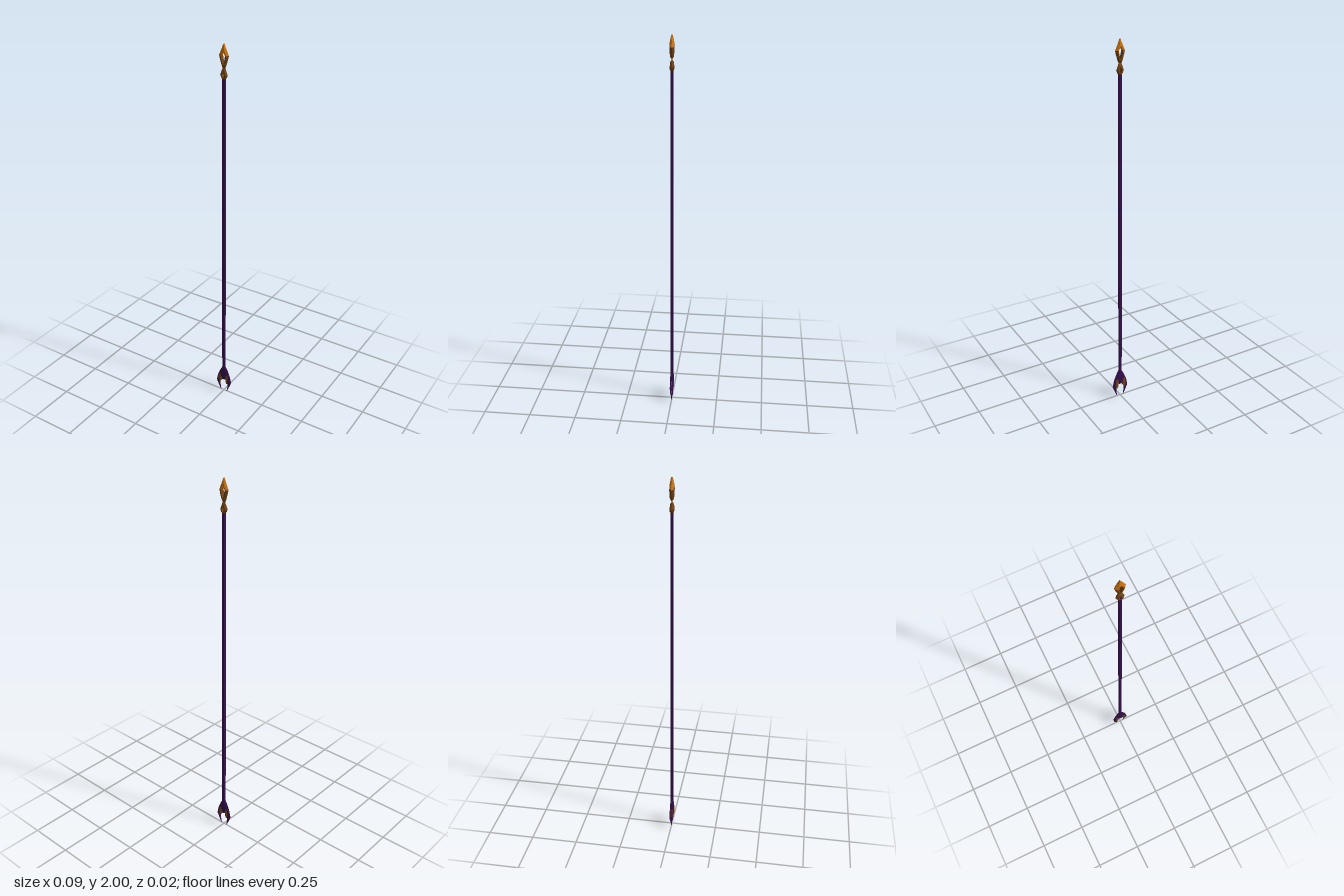
import * as THREE from 'three';

const material = (name, color) => {
  const m = new THREE.MeshStandardMaterial({ color, flatShading: true, side: THREE.DoubleSide });
  m.name = name;
  return m;
};

// Flat-faced bar with a bevelled outer edge; rows run downward: [outer x, inner x, y, half depth, centre z].
// ridge is where the bevel ends across the width, edge is the share of depth left at the outer side.
function bar(rows, { ridge, edge }, side, depthSide = 1) {
  const pos = [], index = [], n = 6;
  for (const [outer, inner, y, half, cz = 0] of rows) {
    const mid = outer + (inner - outer) * ridge;
    const section = [[outer, edge], [mid, 1], [inner, 1], [inner, -1], [mid, -1], [outer, -edge]];
    for (const [x, k] of section) pos.push(side * x, y, cz * depthSide + half * k);
  }
  const face = (a, b, c) => (side > 0 ? index.push(a, b, c) : index.push(a, c, b));
  for (let i = 0; i < rows.length - 1; i++) {
    for (let j = 0; j < n; j++) {
      const a = i * n + j, b = i * n + (j + 1) % n;
      face(a, b, a + n);
      face(b, b + n, a + n);
    }
  }
  // End caps
  const e = (rows.length - 1) * n;
  for (let j = 1; j < n - 1; j++) {
    face(0, j + 1, j);
    face(e, e + j, e + j + 1);
  }
  const g = new THREE.BufferGeometry();
  g.setAttribute('position', new THREE.Float32BufferAttribute(pos, 3));
  g.setIndex(index);
  const flat = g.toNonIndexed();
  flat.computeVertexNormals();
  return flat;
}

export function createModel() {
  const model = new THREE.Group();
  model.name = 'staff';
  const purple = material('purple', 0x360f4c);
  const gold = material('gold', 0xcc7412);
  const bronze = material('bronze', 0x764514);

  const add = (name, geometry, mat) => {
    const mesh = new THREE.Mesh(geometry, mat);
    mesh.name = name;
    model.add(mesh);
    return mesh;
  };

  // Square shaft
  const shaft = add('shaft', new THREE.BoxGeometry(0.014, 1.76, 0.014), purple);
  shaft.position.y = 0.96;

  // Gold spear tip, with bronze strands and a small loop below it
  const tip = [[0.001, 0, 2, 0.004], [0.016, 0, 1.967, 0.01], [0.026, 0.012, 1.945, 0.01]];
  const strand = [
    [0.026, 0.012, 1.945, 0.01], [0.021, 0.008, 1.925, 0.01], [0.013, 0, 1.899, 0.009], [0.008, 0, 1.886, 0.001],
  ];
  const loop = [
    [0.008, 0, 1.886, 0.001], [0.012, 0, 1.873, 0.008], [0.02, 0.007, 1.852, 0.01],
    [0.015, 0.002, 1.84, 0.01], [0.009, 0, 1.833, 0.008],
  ];
  // Claw plates, sheath and inlay
  const claw = [
    [0.008, 0, 0.165, 0.003, 0.004], [0.025, 0.006, 0.13, 0.003, 0.005], [0.036, 0.022, 0.1, 0.003, 0.005],
    [0.044, 0.029, 0.062, 0.003, 0.005], [0.034, 0.025, 0.032, 0.0015, 0.002], [0.02, 0.019, 0, 0.0005, 0.001],
  ];
  const sheath = [
    [0.004, 0, 0.168, 0.007], [0.019, 0, 0.135, 0.009], [0.02, 0, 0.112, 0.009], [0.009, 0, 0.08, 0.008],
  ];
  const inlay = [
    [0.028, 0.017, 0.113, 0.0085], [0.032, 0.014, 0.092, 0.0095], [0.032, 0.016, 0.07, 0.0095], [0.029, 0.021, 0.056, 0.0085],
  ];
  const bevelled = { ridge: 0.5, edge: 0.15 }, plate = { ridge: 0.35, edge: 0.3 }, block = { ridge: 0.2, edge: 0.7 };
  for (const [side, label] of [[1, 'left'], [-1, 'right']]) {
    add(label + 'SpearTip', bar(tip, bevelled, side), gold);
    add(label + 'SpearStrand', bar(strand, bevelled, side), bronze);
    add(label + 'SpearLoop', bar(loop, bevelled, side), bronze);
    add(label + 'ClawSheath', bar(sheath, block, side), purple);
    add(label + 'ClawInlay', bar(inlay, block, side), bronze);
    for (const depth of [1, -1]) {
      add(label + (depth > 0 ? 'FrontClaw' : 'BackClaw'), bar(claw, plate, side, depth), purple);
    }
  }
  return model;
}
